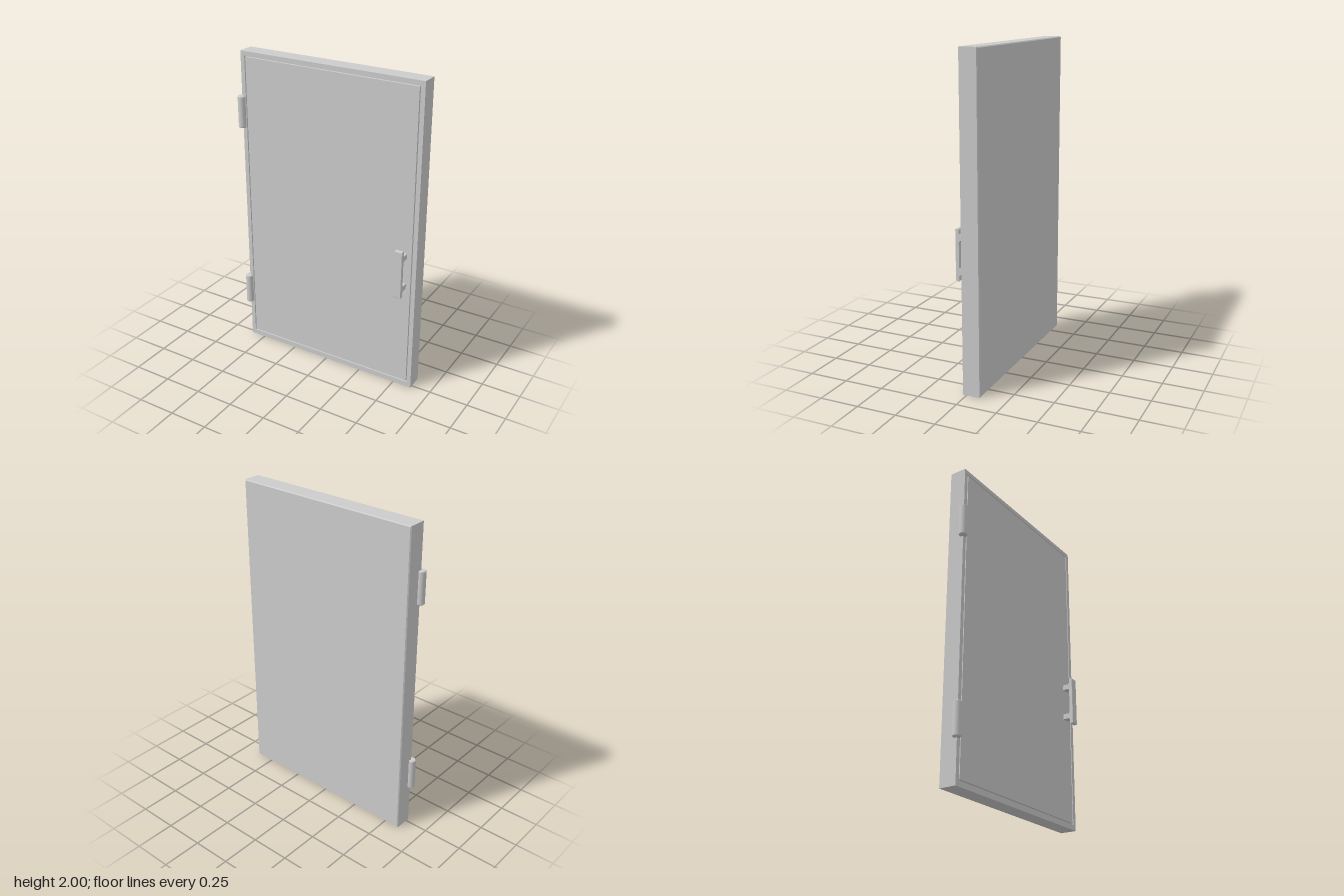
import * as THREE from 'three';

const material = new THREE.MeshStandardMaterial({ color: 0xcccccc, flatShading: true });
const smooth = new THREE.MeshStandardMaterial({ color: 0xcccccc });

// Rectangular outline from its corner coordinates
function rect(x0, y0, x1, y1, Type = THREE.Shape) {
  return new Type([[x0, y0], [x1, y0], [x1, y1], [x0, y1]].map(([x, y]) => new THREE.Vector2(x, y)));
}

export function createModel() {
  const model = new THREE.Group();
  model.name = 'cabinetDoor';
  const add = (name, geometry, mat = material) => {
    const mesh = new THREE.Mesh(geometry, mat);
    mesh.name = name;
    model.add(mesh);
    return mesh;
  };
  const L = -0.6, R = 0.623, H = 2, back = -0.09, front = 0.022, grooveFloor = 0.008;
  const edge = 0.006;

  // Back slab with a fine chamfer round its rear edge
  const slab = new THREE.ExtrudeGeometry(rect(L, 0, R, H), {
    depth: grooveFloor - back - 2 * edge, bevelEnabled: true,
    bevelSize: edge, bevelThickness: edge, bevelOffset: -edge, bevelSegments: 1,
  });
  add('backSlab', slab).position.z = back + edge;

  // Narrow rim round the front face
  const rimShape = rect(L, 0, R, H);
  rimShape.holes.push(rect(L + 0.027, 0.034, R - 0.027, H - 0.028, THREE.Path));
  const rimBack = grooveFloor - 2 * edge;
  const rim = new THREE.ExtrudeGeometry(rimShape, { depth: front - rimBack, bevelEnabled: false });
  add('frontRim', rim).position.z = rimBack;

  // Front panel, set inside the rim with a thin shadow gap
  const panel = new THREE.ExtrudeGeometry(rect(L + 0.034, 0.041, R - 0.034, H - 0.035), {
    depth: front - rimBack, bevelEnabled: false,
  });
  add('frontPanel', panel).position.z = rimBack;

  // Hinge barrels with softened ends
  const r = 0.026, half = 0.102, c = 0.005;
  const barrel = [[0, -half], [r - c, -half], [r - c, -half], [r, -half + c], [r, -half + c],
    [r, half - c], [r, half - c], [r - c, half], [r - c, half], [0, half]]
    .map(([x, y]) => new THREE.Vector2(x, y));
  for (const [name, y] of [['lowerHinge', 0.364], ['upperHinge', 1.618]]) {
    add(name, new THREE.LatheGeometry(barrel, 32), smooth).position.set(-0.603, y, 0.024);
  }

  // Pull handle: side profile (z, y) swept across its width
  const mid = 0.824, f = 0.007, inZ = 0.067, outZ = 0.091, end = 0.156, p0 = 0.084, p1 = 0.12;
  const upper = [
    [inZ, p0 - f], [inZ - f, p0], [front - 0.004, p0], [front - 0.004, p1],
    [inZ - f, p1], [inZ, p1 + f], [inZ, end - 0.004], [inZ + 0.004, end],
    [outZ - 0.004, end], [outZ, end - 0.004],
  ];
  const lower = upper.map(([z, y]) => [z, -y]).reverse();
  const profile = new THREE.Shape([...upper, ...lower].map(([z, y]) => new THREE.Vector2(z, mid + y)));
  const handle = new THREE.ExtrudeGeometry(profile, {
    depth: 0.046, bevelEnabled: true, bevelSize: 0.002, bevelThickness: 0.002,
    bevelOffset: -0.002, bevelSegments: 1,
  });
  handle.rotateY(-Math.PI / 2).translate(0.558, 0, 0);
  add('pullHandle', handle);

  return model;
}
